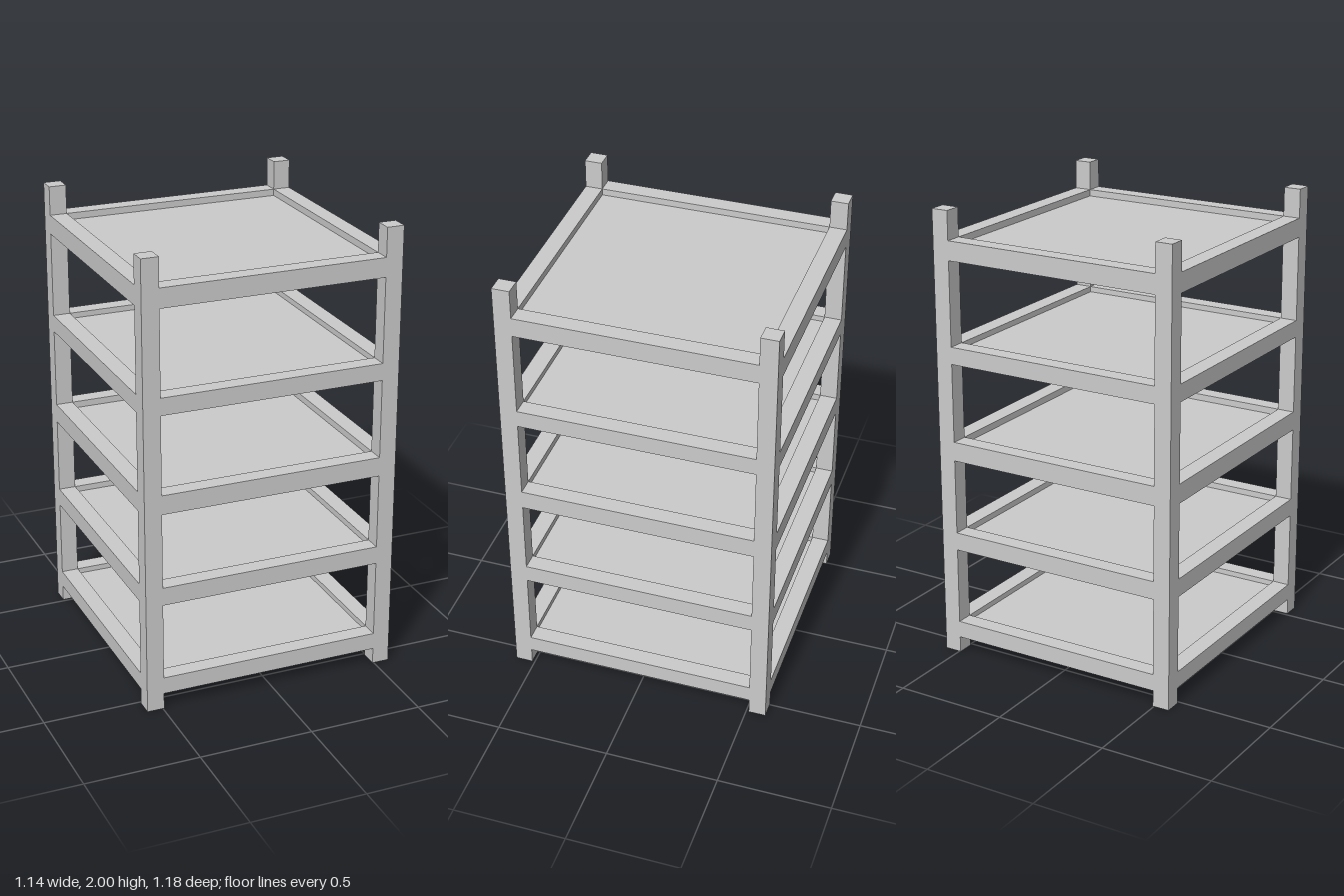
import * as THREE from 'three';

const W = 1.14, D = 1.176, H = 2, POST = 0.076;
// bottom and top height of each shelf frame
const SHELVES = [[0.072, 0.147], [0.49, 0.57], [0.904, 0.989], [1.338, 1.414], [1.788, 1.873]];

export function createModel() {
  const rack = new THREE.Group();
  rack.name = 'shelfRack';
  const material = new THREE.MeshStandardMaterial({ color: 0xcccccc });

  const addBox = (parent, name, size, position) => {
    const mesh = new THREE.Mesh(new THREE.BoxGeometry(...size), material);
    mesh.name = name;
    mesh.position.set(...position);
    parent.add(mesh);
  };

  const px = (W - POST) / 2, pz = (D - POST) / 2;
  const innerW = W - 2 * POST, innerD = D - 2 * POST;

  // Corner posts
  for (const sx of [-1, 1]) {
    for (const sz of [-1, 1]) {
      addBox(rack, `${sz > 0 ? 'front' : 'back'}${sx > 0 ? 'Left' : 'Right'}Post`,
        [POST, H, POST], [sx * px, H / 2, sz * pz]);
    }
  }

  // Shelves: four rails around a recessed panel
  SHELVES.forEach(([y0, y1], i) => {
    const shelf = new THREE.Group();
    shelf.name = `shelf${i + 1}`;
    const h = y1 - y0, y = (y0 + y1) / 2;
    for (const s of [-1, 1]) {
      addBox(shelf, s > 0 ? 'frontRail' : 'backRail', [innerW, h, POST], [0, y, s * pz]);
      addBox(shelf, s > 0 ? 'leftRail' : 'rightRail', [POST, h, innerD], [s * px, y, 0]);
    }
    addBox(shelf, 'panel', [innerW, 0.026, innerD], [0, y, 0]);
    rack.add(shelf);
  });

  return rack;
}
